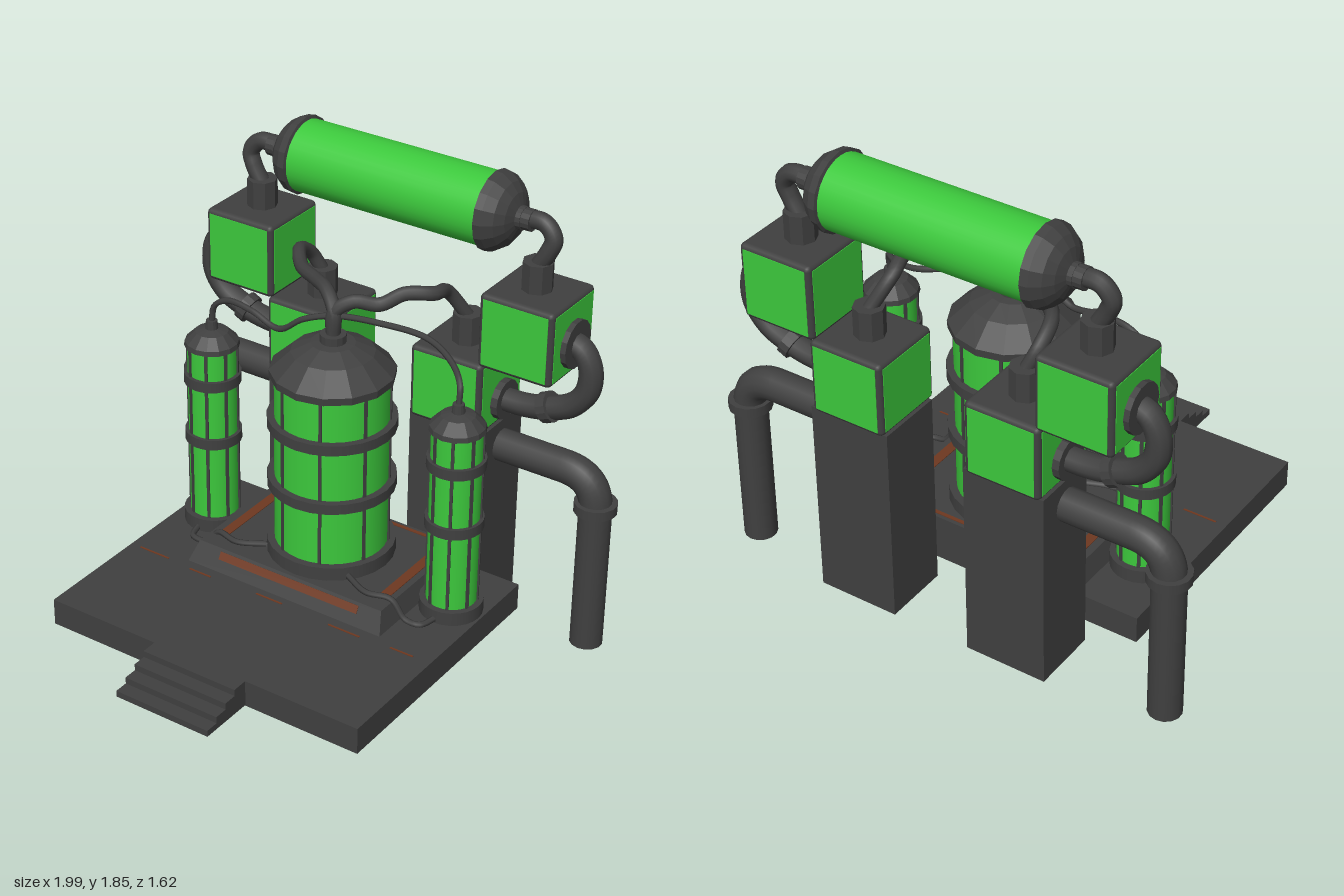
import * as THREE from 'three';
import { RoundedBoxGeometry } from 'three/addons/geometries/RoundedBoxGeometry.js';

const V = (p) => new THREE.Vector3(...p);

export function createModel() {
  const model = new THREE.Group();
  const mat = (name, color, side = THREE.FrontSide) => {
    const m = new THREE.MeshStandardMaterial({ color, side });
    m.name = name;
    return m;
  };
  const dark = mat('dark iron', 0x404040, THREE.DoubleSide);
  const green = mat('glowing green', 0x3cc83c);
  const rust = mat('rust', 0x6e3820);

  const add = (name, geo, m, x = 0, y = 0, z = 0, parent = model) => {
    const mesh = new THREE.Mesh(geo, m);
    mesh.name = name;
    mesh.position.set(x, y, z);
    parent.add(mesh);
    return mesh;
  };
  const flat = (g) => {
    const n = g.index ? g.toNonIndexed() : g;
    n.computeVertexNormals();
    return n;
  };
  // Box given by its limits
  const block = (name, m, x0, x1, y0, y1, z0, z1, parent = model) =>
    add(name, new THREE.BoxGeometry(x1 - x0, y1 - y0, z1 - z0), m,
      (x0 + x1) / 2, (y0 + y1) / 2, (z0 + z1) / 2, parent);
  // Box with an open underside
  const shell = (...args) => {
    const mesh = block(...args);
    const idx = Array.from(mesh.geometry.index.array);
    idx.splice(18, 6);
    mesh.geometry.clearGroups();
    mesh.geometry.setIndex(idx);
    return mesh;
  };
  const drum = (name, m, r, y0, y1, x, z, sides = 24, parent = model) =>
    add(name, new THREE.CylinderGeometry(r, r, y1 - y0, sides), m, x, (y0 + y1) / 2, z, parent);
  const collar = (name, r, len, x, y, z) => {
    const c = add(name, flat(new THREE.CylinderGeometry(r, r, len, 14)), dark, x, y, z);
    c.rotation.z = Math.PI / 2;
    return c;
  };
  const pipe = (name, r, pts, sides = 10) =>
    add(name, new THREE.TubeGeometry(new THREE.CatmullRomCurve3(pts.map(V)), pts.length * 6, r, sides), dark);

  // Platform and steps
  shell('platform', dark, -0.715, 0.675, 0.125, 0.235, -0.52, 0.585);
  for (let i = 0; i < 4; i++) {
    block('step', dark, -0.23, 0.185, 0.128, 0.235 - i * 0.027, 0.58, 0.65 + i * 0.055);
  }

  // Plinth with sloping sides
  const plinth = new THREE.BoxGeometry(0.89, 0.08, 0.595);
  const p = plinth.attributes.position;
  for (let i = 0; i < p.count; i++) {
    if (p.getY(i) > 0) {
      p.setX(i, p.getX(i) * 0.945);
      if (p.getZ(i) > 0) p.setZ(i, p.getZ(i) - 0.045);
    }
  }
  plinth.computeVertexNormals();
  add('plinth', plinth, dark, -0.015, 0.275, -0.2225);

  // Rust streaks
  const slope = add('plinthFrontRust', new THREE.BoxGeometry(0.64, 0.032, 0.005), rust, -0.01, 0.29, 0.044);
  slope.rotation.x = -Math.atan2(0.045, 0.08);
  for (const x of [-0.385, 0.36]) block('plinthTopRust', rust, x - 0.02, x + 0.02, 0.313, 0.318, -0.41, -0.05);
  block('plinthBackRust', rust, -0.33, 0.33, 0.313, 0.318, -0.505, -0.49);
  for (const [x, z, w] of [[-0.6, 0.11, 0.14], [-0.37, 0.12, 0.1], [-0.05, 0.11, 0.12], [0.3, 0.12, 0.14], [0.55, 0.11, 0.1]]) {
    block('platformRust', rust, x - w / 2, x + w / 2, 0.234, 0.237, z - 0.004, z + 0.004);
  }

  // Upright tanks: glass body, bands, struts and a domed cap
  const tank = (name, x, z, r, y0, y1, baseR, baseY, bandR, cap) => {
    const g = new THREE.Group();
    g.name = name;
    g.position.set(x, 0, z);
    model.add(g);
    drum('glass', green, r, y0, y1, 0, 0, 32, g);
    drum('base', dark, baseR, baseY, y0 + 0.005, 0, 0, 24, g);
    for (const y of [0.63, 0.885]) drum('band', dark, bandR, y - 0.021, y + 0.021, 0, 0, 24, g);
    for (let i = 0; i < 8; i++) {
      const a = (i + 0.5) * Math.PI / 4;
      const s = add('strut', new THREE.BoxGeometry(0.012, y1 - y0, 0.012), dark,
        Math.sin(a) * r, (y0 + y1) / 2, Math.cos(a) * r, g);
      s.rotation.y = a;
    }
    add('cap', flat(new THREE.LatheGeometry(cap.map(([a, b]) => new THREE.Vector2(a, b)), 14)), dark, 0, 0, 0, g);
  };
  tank('mainTank', 0, -0.235, 0.22, 0.365, 1.08, 0.25, 0.31, 0.248,
    [[0, 1.07], [0.238, 1.07], [0.24, 1.1], [0.16, 1.175], [0.085, 1.21], [0.05, 1.213], [0.05, 1.245], [0, 1.245]]);
  for (const x of [-0.565, 0.545]) {
    tank('sideTank', x, -0.24, 0.097, 0.285, 1.03, 0.122, 0.235, 0.112,
      [[0, 1.02], [0.108, 1.02], [0.105, 1.04], [0.065, 1.08], [0.025, 1.09], [0.022, 1.125], [0, 1.125]]);
  }

  // Horizontal tank with rounded ends
  const body = add('topTankGlass', new THREE.CylinderGeometry(0.142, 0.142, 0.84, 32), green, 0, 1.697, -0.655);
  body.rotation.z = Math.PI / 2;
  const endProfile = [[0.142, -0.005], [0.155, 0], [0.15, 0.03], [0.125, 0.068], [0.09, 0.095], [0.045, 0.11], [0.045, 0.13], [0, 0.13]]
    .map(([a, b]) => new THREE.Vector2(a, b));

  // Framed boxes with green panels on the four sides
  const framedBox = (name, x, y) => {
    const g = new THREE.Group();
    g.name = name;
    g.position.set(x, y, -0.645);
    model.add(g);
    add('frame', new RoundedBoxGeometry(0.31, 0.305, 0.31, 2, 0.02), dark, 0, 0, 0, g);
    for (let i = 0; i < 4; i++) {
      const a = i * Math.PI / 2;
      const s = add('panel', new THREE.BoxGeometry(0.272, 0.268, 0.006), green,
        Math.sin(a) * 0.154, 0, Math.cos(a) * 0.154, g);
      s.rotation.y = a;
    }
  };

  for (const s of [-1, 1]) {
    const end = add('topTankEnd', flat(new THREE.LatheGeometry(endProfile, 16)), dark, s * 0.415, 1.697, -0.655);
    end.rotation.z = -s * Math.PI / 2;

    // Pillars and boxes
    const a = s * 0.33;
    shell('pillar', dark, a - 0.167, a + 0.167, 0.03, 0.845, -0.79, -0.52);
    framedBox('lowerBox', a, 0.988);
    framedBox('upperBox', s * 0.618, 1.288);
    add('lowerStub', flat(new THREE.CylinderGeometry(0.06, 0.06, 0.13, 8)), dark, a, 1.193, -0.645);
    add('upperStub', flat(new THREE.CylinderGeometry(0.06, 0.06, 0.13, 8)), dark, s * 0.615, 1.488, -0.645);

    // Pipe from upper box to the top tank
    pipe('topPipe', 0.034, [[s * 0.615, 1.53, -0.645], [s * 0.655, 1.6, -0.645], [s * 0.67, 1.65, -0.65],
      [s * 0.63, 1.7, -0.655], [s * 0.53, 1.7, -0.655]]);
    collar('topPipeCollar', 0.042, 0.04, s * 0.56, 1.698, -0.655);

    // Pipe joining upper and lower box
    pipe('sidePipe', 0.047, [[s * 0.74, 1.265, -0.645], [s * 0.81, 1.255, -0.645], [s * 0.853, 1.19, -0.645],
      [s * 0.85, 1.09, -0.645], [s * 0.79, 1.01, -0.645], [s * 0.69, 0.965, -0.645], [s * 0.6, 0.945, -0.645], [s * 0.46, 0.94, -0.645]]);
    collar('upperFlange', 0.095, 0.03, s * 0.782, 1.265, -0.645);
    collar('lowerFlange', 0.08, 0.03, s * 0.5, 0.94, -0.645);
    collar('sidePipeJoint', 0.06, 0.04, s * 0.69, 0.967, -0.645).rotation.z += s * 0.45;

    // Large pipe running to the ground
    const bend = new THREE.CurvePath();
    bend.add(new THREE.LineCurve3(V([s * 0.47, 0.74, -0.645]), V([s * 0.77, 0.74, -0.645])));
    bend.add(new THREE.QuadraticBezierCurve3(V([s * 0.77, 0.74, -0.645]), V([s * 0.915, 0.74, -0.645]), V([s * 0.915, 0.6, -0.645])));
    add('groundPipeElbow', new THREE.TubeGeometry(bend, 30, 0.064, 14), dark);
    drum('groundPipe', dark, 0.065, 0, 0.61, s * 0.915, -0.645, 14);
    drum('groundPipeFlange', dark, 0.084, 0.595, 0.635, s * 0.915, -0.645, 14);

    // Hose along the floor from side tank to main tank
    pipe('floorHose', 0.012, [[s * 0.555 - 0.01, 0.25, -0.13], [s * 0.53 - 0.01, 0.248, -0.06], [s * 0.46, 0.255, -0.05],
      [s * 0.4, 0.325, -0.045], [s * 0.3, 0.328, -0.025], [s * 0.19, 0.335, -0.07]], 6);
  }

  // Hoses from the main tank to the lower stubs
  pipe('rightHose', 0.027, [[0, 1.23, -0.235], [0, 1.33, -0.24], [-0.06, 1.385, -0.28], [-0.15, 1.38, -0.34],
    [-0.27, 1.365, -0.42], [-0.35, 1.375, -0.52], [-0.36, 1.32, -0.61], [-0.33, 1.24, -0.645]]);
  pipe('leftHose', 0.027, [[0, 1.23, -0.235], [0, 1.33, -0.24], [0.06, 1.375, -0.28], [0.14, 1.365, -0.33],
    [0.21, 1.405, -0.39], [0.29, 1.4, -0.46], [0.28, 1.36, -0.57], [0.33, 1.24, -0.645]]);

  // Thin cable between the side tanks
  pipe('cable', 0.012, [[-0.565, 1.11, -0.24], [-0.55, 1.19, -0.24], [-0.48, 1.235, -0.235], [-0.36, 1.235, -0.22],
    [-0.22, 1.21, -0.2], [-0.11, 1.285, -0.2], [0, 1.315, -0.24], [0.15, 1.3, -0.31], [0.32, 1.265, -0.37],
    [0.45, 1.23, -0.33], [0.535, 1.19, -0.26], [0.545, 1.11, -0.24]], 6);

  return model;
}
